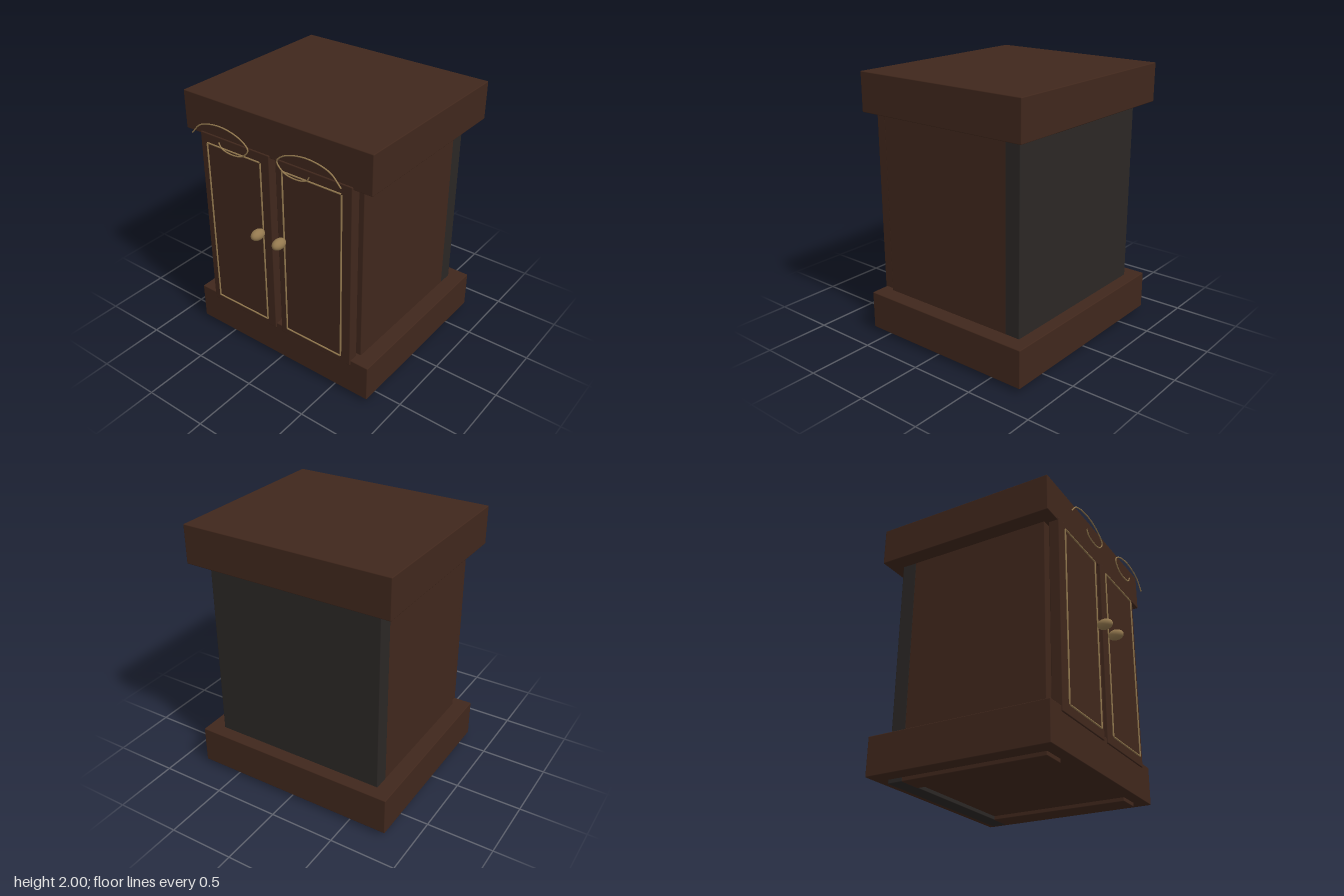
import * as THREE from 'three';
import { RoundedBoxGeometry } from 'three/addons/geometries/RoundedBoxGeometry.js';

const wood = new THREE.MeshStandardMaterial({ color: 0x40271c });
const darkWood = new THREE.MeshStandardMaterial({ color: 0x2b2725 });
const brass = new THREE.MeshStandardMaterial({ color: 0x94794f });

// Box given by its lowest and highest corners, with slightly softened edges
function board(name, [x0, y0, z0], [x1, y1, z1], material) {
  const geometry = new RoundedBoxGeometry(x1 - x0, y1 - y0, z1 - z0, 2, 0.006);
  const mesh = new THREE.Mesh(geometry, material);
  mesh.name = name;
  mesh.position.set((x0 + x1) / 2, (y0 + y1) / 2, (z0 + z1) / 2);
  return mesh;
}

function tube(name, curve, segments, radius) {
  const mesh = new THREE.Mesh(new THREE.TubeGeometry(curve, segments, radius, 8), brass);
  mesh.name = name;
  return mesh;
}

// Thin rectangular brass moulding
function doorTrim(x0, x1, y0, y1, z) {
  const corners = [[x0, y0], [x1, y0], [x1, y1], [x0, y1]].map(([x, y]) => new THREE.Vector3(x, y, z));
  const path = new THREE.CurvePath();
  corners.forEach((c, i) => path.add(new THREE.LineCurve3(c, corners[(i + 1) % 4])));
  const trim = new THREE.Group();
  trim.name = 'doorTrim';
  path.curves.forEach((line) => trim.add(tube('trimStrip', line, 1, 0.006)));
  return trim;
}

export function createModel() {
  const model = new THREE.Group();
  model.name = 'cabinet';

  // Cornice, plinth and back panel
  model.add(
    board('cornice', [-0.8, 1.71, -0.775], [0.8, 2, 0.635], wood),
    board('plinth', [-0.8, 0.03, -0.775], [0.8, 0.32, 0.635], wood),
    board('backPanel', [-0.68, 0, -0.675], [0.68, 1.72, -0.555], darkWood),
  );

  // Scroll ornament above each door
  const scroll = new THREE.CatmullRomCurve3([
    [0.637, 1.76], [0.55, 1.842], [0.36, 1.878], [0.18, 1.835], [0.125, 1.78],
    [0.18, 1.717], [0.285, 1.7], [0.365, 1.72], [0.39, 1.757],
  ].map(([x, y]) => new THREE.Vector3(x, y, 0.735)));

  for (const side of [1, -1]) {
    const [in0, in1] = [side * 0.5, side * 0.68].sort((a, b) => a - b);
    model.add(board('sideWall', [in0, 0, -0.56], [in1, 1.72, 0.545], wood));

    // Door with trim, knob and scroll
    const door = new THREE.Group();
    door.name = side > 0 ? 'leftDoor' : 'rightDoor';
    const [d0, d1] = [side * 0.028, side * 0.655].sort((a, b) => a - b);
    door.add(board('doorPanel', [d0, 0.28, 0.565], [d1, 1.73, 0.645], wood));
    door.add(doorTrim(side * 0.095, side * 0.583, 0.345, 1.665, 0.658));

    const knob = new THREE.Mesh(new THREE.SphereGeometry(0.04, 32, 20), brass);
    knob.name = 'knob';
    knob.scale.z = 1.5;
    knob.position.set(side * 0.096, 1.125, 0.715);
    door.add(knob);

    const path = new THREE.CatmullRomCurve3(
      scroll.points.map((p) => new THREE.Vector3(side * p.x, p.y, p.z)));
    door.add(tube('scroll', path, 80, 0.005));
    model.add(door);
  }
  return model;
}
